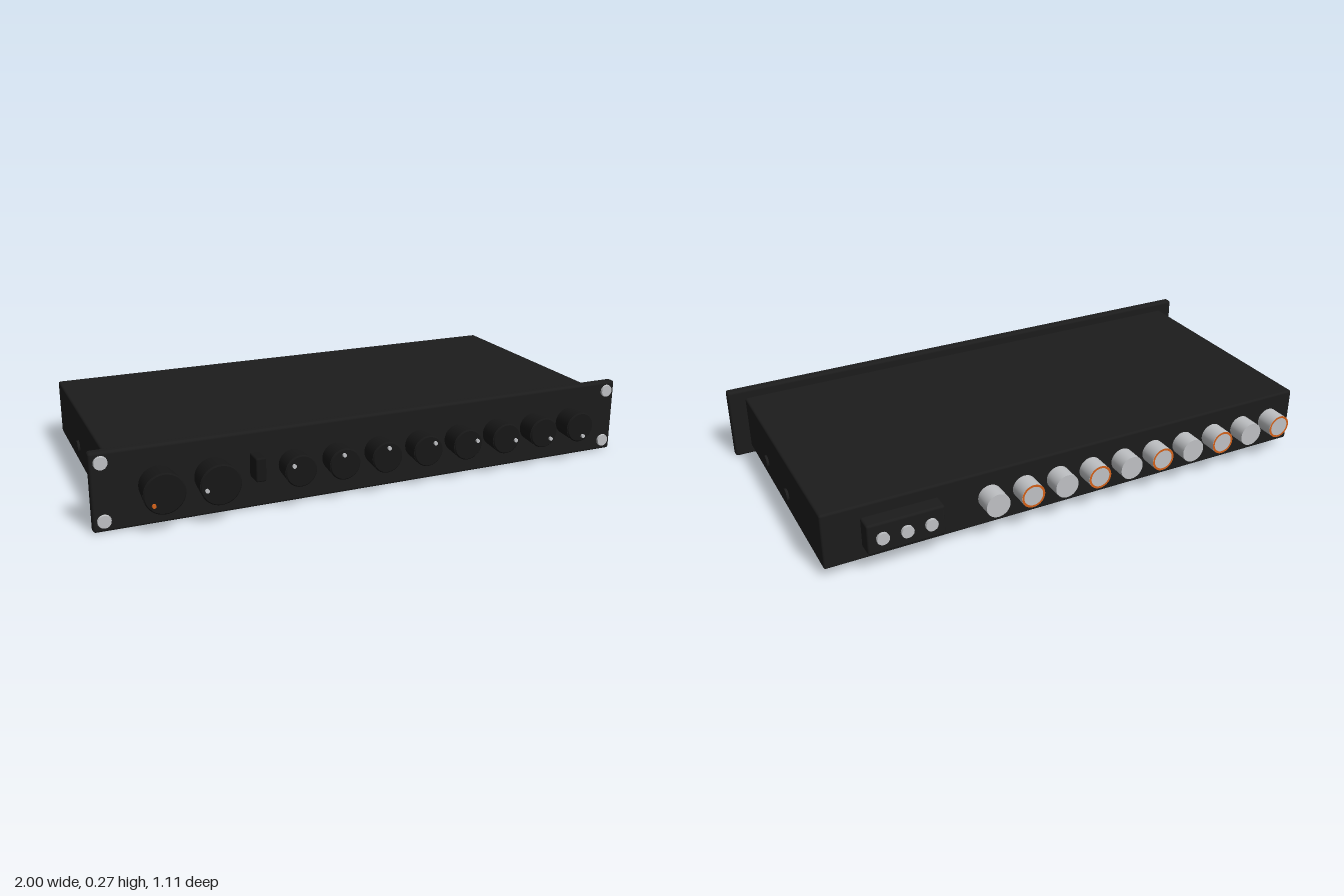
import * as THREE from 'three';
import { RoundedBoxGeometry } from 'three/addons/geometries/RoundedBoxGeometry.js';

const mat = (name, color, side = THREE.FrontSide) => {
  const m = new THREE.MeshStandardMaterial({ color, side });
  m.name = name;
  return m;
};

export function createModel() {
  const black = mat('caseBlack', 0x1c1c1c);
  const knobBlack = mat('knobBlack', 0x171717);
  const metal = mat('metal', 0xbfc1c4);
  const orange = mat('orange', 0xd4621a);
  const root = new THREE.Group();
  root.name = 'rackUnit';

  const add = (name, geo, material, x, y, z, parent = root) => {
    const m = new THREE.Mesh(geo, material);
    m.name = name;
    m.position.set(x, y, z);
    parent.add(m);
    return m;
  };
  // Cylinder lying along z; rFront faces +z
  const rod = (rFront, rBack, len, sides = 32) =>
    new THREE.CylinderGeometry(rFront, rBack, len, sides).rotateX(Math.PI / 2);

  const midY = 0.139;

  // Case and faceplate
  add('case', new RoundedBoxGeometry(1.875, 0.206, 0.897, 3, 0.008), black, 0, 0.138, -0.037);
  add('faceplate', new RoundedBoxGeometry(2, 0.273, 0.036, 3, 0.01), black, 0, 0.1365, 0.43);

  // Faceplate corner screws
  for (const x of [-0.963, 0.963])
    for (const y of [0.038, 0.237])
      add('faceplateScrew', rod(0.022, 0.024, 0.008, 20), metal, x, y, 0.451);

  // Side screws
  for (const s of [-1, 1])
    for (const z of [0.153, -0.1])
      add('sideScrew', new THREE.CylinderGeometry(0.022, 0.022, 0.014, 24).rotateZ(Math.PI / 2),
        black, s * 0.939, 0.102, z);

  // Knob flaring slightly toward the front, with a pointer dot at an angle in degrees
  const knob = (name, x, r, len, dotR, angle, dotMat) => {
    const g = new THREE.Group();
    g.name = name;
    g.position.set(x, midY, 0.446);
    root.add(g);
    const pts = [[0, 0], [r * 0.9, 0], [r, len - 0.006], [r, len - 0.004], [r - 0.004, len], [0, len]];
    const profile = pts.map(p => new THREE.Vector2(...p));
    // Flat caps and side are separate lathes so that their edges stay crisp
    for (const [a, b] of [[1, 3], [3, 5], [4, 6]])
      add('knobBody', new THREE.LatheGeometry(profile.slice(a, b), 36).rotateX(Math.PI / 2),
        knobBlack, 0, 0, 0, g);
    const t = THREE.MathUtils.degToRad(angle);
    add('pointer', rod(0.007, 0.007, 0.012, 12), dotMat, Math.cos(t) * dotR, Math.sin(t) * dotR, len + 0.002, g);
  };
  knob('largeKnob', -0.785, 0.07, 0.097, 0.05, 221, orange);
  knob('largeKnob', -0.6, 0.07, 0.097, 0.05, 192, metal);
  [140, 100, 85, 50, 20, -14, -42, -72].forEach((angle, i) =>
    knob('smallKnob', -0.319 + i * 0.159, 0.056, 0.086, 0.036, angle, metal));

  // Toggle switch
  add('toggleSwitch', new RoundedBoxGeometry(0.036, 0.084, 0.075, 3, 0.006), knobBlack, -0.453, 0.156, 0.474);

  // Row of rear sockets; every second one carries an orange ring
  for (let i = 0; i < 10; i++) {
    const x = -0.834 + i * 0.1313;
    add('rearSocket', rod(0.044, 0.044, 0.068), metal, x, 0.142, -0.519);
    if (i % 2 === 0)
      add('socketRing', new THREE.RingGeometry(0.036, 0.044, 32).rotateY(Math.PI), orange, x, 0.142, -0.5542);
  }

  // Rear connector block with three contacts
  add('connectorBlock', new RoundedBoxGeometry(0.27, 0.112, 0.062, 3, 0.008), black, 0.671, midY, -0.512);
  for (const x of [0.587, 0.671, 0.755])
    add('connectorContact', rod(0.022, 0.022, 0.014, 16), metal, x, midY, -0.547);

  return root;
}
